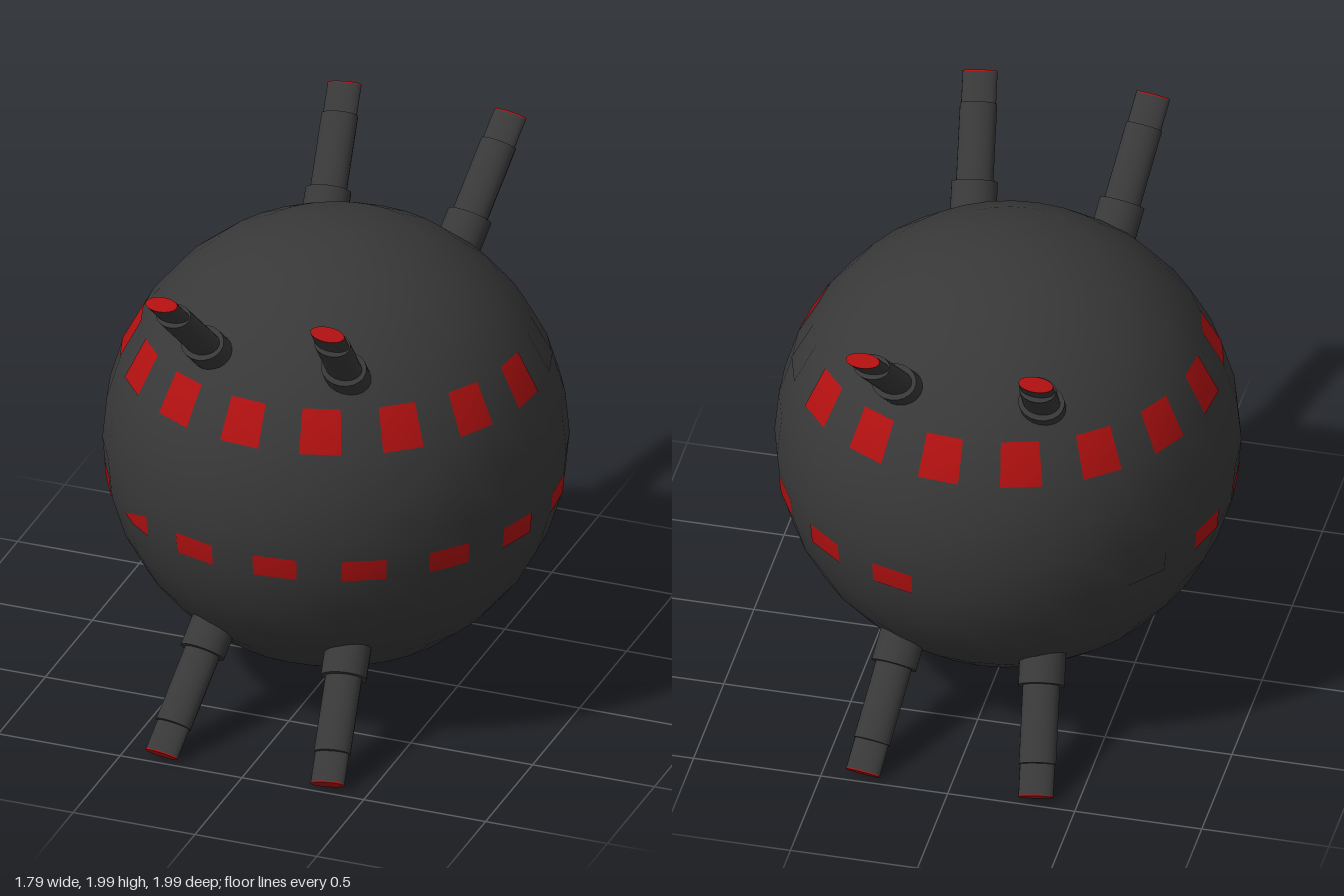
import * as THREE from 'three';

const R = 0.895, CY = 0.993, STEP = Math.PI / 16;

export function createModel() {
  const hullMat = new THREE.MeshStandardMaterial({ color: 0x383838 });
  hullMat.name = 'charcoal hull';
  const redMat = new THREE.MeshStandardMaterial({ color: 0xb01010 });
  redMat.name = 'red light';

  const model = new THREE.Group();
  model.name = 'sphereShip';
  const add = (parent, geo, mat, name) => {
    const mesh = new THREE.Mesh(geo, mat);
    mesh.name = name;
    parent.add(mesh);
    return mesh;
  };

  // Round hull
  add(model, new THREE.SphereGeometry(R, 32, 16), hullMat, 'hull').position.y = CY;

  // Corner of a hull facet, k steps round from the front and row steps above the equator
  const corner = (k, row) => new THREE.Vector3(
    Math.sin(k * STEP) * Math.cos(row * STEP),
    Math.sin(row * STEP),
    Math.cos(k * STEP) * Math.cos(row * STEP)).multiplyScalar(R * 1.003);

  // Window lying on one facet; outline is given in facet coordinates (0..1)
  const windowPatch = (k, row, outline) => {
    const pos = [], nor = [], index = [];
    outline.forEach(([u, v], i) => {
      const low = corner(k, row).lerp(corner(k + 1, row), u);
      const high = corner(k, row + 1).lerp(corner(k + 1, row + 1), u);
      const p = low.lerp(high, v);
      pos.push(p.x, p.y + CY, p.z);
      nor.push(...p.normalize().toArray());
      if (i > 1) index.push(0, i - 1, i);
    });
    const geo = new THREE.BufferGeometry();
    geo.setAttribute('position', new THREE.Float32BufferAttribute(pos, 3));
    geo.setAttribute('normal', new THREE.Float32BufferAttribute(nor, 3));
    geo.setIndex(index);
    return geo;
  };

  const full = [[0, 0], [1, 0], [1, 1], [0, 1]];
  const half = [[0, 0], [1, 0], [1, 0.5], [0, 0.5]];
  const wedge = [[0.3, 0], [1, 0], [1, 0.5], [0, 0.14]];

  // Two rings of windows, a few of them unlit
  for (let k = 0; k < 32; k += 2) {
    add(model, windowPatch(k + 1, 2, full), k + 1 === 9 ? hullMat : redMat, 'upperWindow');
    if (k === 16) continue;
    const unlit = k === 18 || k === 20;
    add(model, windowPatch(k, -1, k === 28 ? wedge : half), unlit ? hullMat : redMat, 'lowerWindow');
  }

  // Flattened three-stage barrels: [start, end, width, thickness]
  const LEAN = 0.166, LEN = Math.hypot(LEAN, 1, 1);
  const stages = [
    ['barrelBase', 0.5, 0.67, 0.18, 0.145],
    ['barrelMiddle', 0.6, 0.885, 0.145, 0.1],
    ['barrelTip', 0.8, 0.97, 0.136, 0.06],
    ['barrelLight', 0.97, 0.974, 0.136, 0.06],
  ];
  for (const sx of [1, -1]) for (const sy of [1, -1]) for (const sz of [1, -1]) {
    const gun = new THREE.Group();
    gun.name = 'gun';
    const along = new THREE.Vector3(LEAN * sx, sy, sz).normalize();
    const thin = new THREE.Vector3(0, sz, -sy).normalize();
    const wide = new THREE.Vector3().crossVectors(along, thin);
    gun.quaternion.setFromRotationMatrix(new THREE.Matrix4().makeBasis(wide, along, thin));
    gun.position.set(0.179 * sx, CY, 0);
    for (const [name, from, to, width, thick] of stages) {
      const geo = new THREE.CylinderGeometry(0.5, 0.5, (to - from) * LEN, 20);
      geo.scale(width, 1, thick);
      geo.translate(0, (from + to) / 2 * LEN, 0);
      add(gun, geo, name === 'barrelLight' ? redMat : hullMat, name);
    }
    model.add(gun);
  }
  return model;
}
